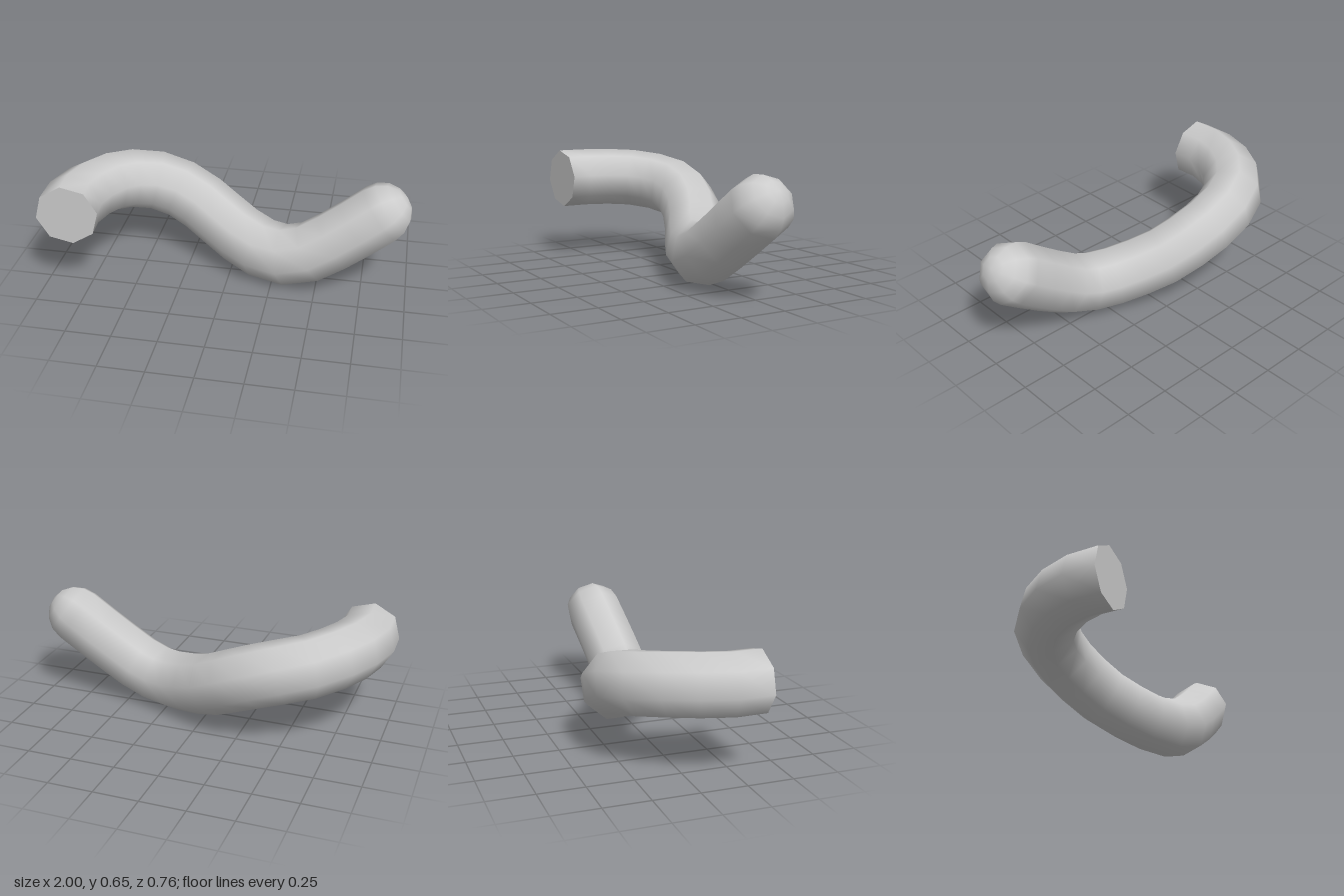
import * as THREE from 'three';

const SIDES = 8, RADIUS = 0.172, STEPS = 15, DOME_STEPS = 4, PHASE = 0.14;

// Centre line from the flat-cut end to the rounded end
const path = new THREE.CatmullRomCurve3([
  [-0.83, 0.49, 0.37], [-0.838, 0.49, 0.24], [-0.80, 0.49, 0.09], [-0.73, 0.485, -0.04],
  [-0.64, 0.47, -0.14], [-0.51, 0.447, -0.205], [-0.37, 0.405, -0.222], [-0.24, 0.35, -0.2],
  [-0.09, 0.27, -0.14], [0.09, 0.2, -0.04], [0.26, 0.174, 0.035], [0.42, 0.21, 0.068],
  [0.6, 0.32, 0.062], [0.825, 0.488, 0.034],
].map(p => new THREE.Vector3(...p)));

// Rings of points swept along the path without twist, closed by a dome
function buildRings() {
  const rings = [];
  const normal = new THREE.Vector3(1, 0, 0), side = new THREE.Vector3();
  const addRing = (centre, radius) => rings.push(Array.from({ length: SIDES }, (_, j) => {
    const a = PHASE + (j / SIDES) * Math.PI * 2;
    return centre.clone()
      .addScaledVector(normal, Math.cos(a) * radius)
      .addScaledVector(side, Math.sin(a) * radius);
  }));
  let centre, tangent;
  for (let i = 0; i <= STEPS; i++) {
    centre = path.getPointAt(i / STEPS);
    tangent = path.getTangentAt(i / STEPS);
    normal.addScaledVector(tangent, -normal.dot(tangent)).normalize();
    side.crossVectors(normal, tangent);
    addRing(centre, RADIUS);
  }
  for (let k = 1; k < DOME_STEPS; k++) {
    const a = (k / DOME_STEPS) * Math.PI / 2;
    addRing(centre.clone().addScaledVector(tangent, RADIUS * Math.sin(a)), RADIUS * Math.cos(a));
  }
  return { rings, tip: centre.clone().addScaledVector(tangent, RADIUS) };
}

function makeMesh(points, index, name) {
  const geometry = new THREE.BufferGeometry().setFromPoints(points);
  geometry.setIndex(index);
  geometry.computeVertexNormals();
  const mesh = new THREE.Mesh(geometry, new THREE.MeshStandardMaterial({ color: 0xcccccc }));
  mesh.name = name;
  return mesh;
}

export function createModel() {
  const group = new THREE.Group();
  group.name = 'bentTube';
  const { rings, tip } = buildRings();

  // Smooth tube wall with its rounded end
  const points = [...rings.flat(), tip], index = [];
  const last = rings.length - 1;
  for (let i = 0; i <= last; i++) {
    for (let j = 0; j < SIDES; j++) {
      const a = i * SIDES + j, b = i * SIDES + (j + 1) % SIDES;
      if (i < last) index.push(a, a + SIDES, b, b, a + SIDES, b + SIDES);
      else index.push(a, points.length - 1, b);
    }
  }
  group.add(makeMesh(points, index, 'tubeWall'));

  // Flat cap with its own vertices, so the rim stays sharp
  const cap = [];
  for (let j = 0; j < SIDES; j++) cap.push(SIDES, j, (j + 1) % SIDES);
  group.add(makeMesh([...rings[0], path.getPointAt(0)], cap, 'flatEndCap'));

  return group;
}
